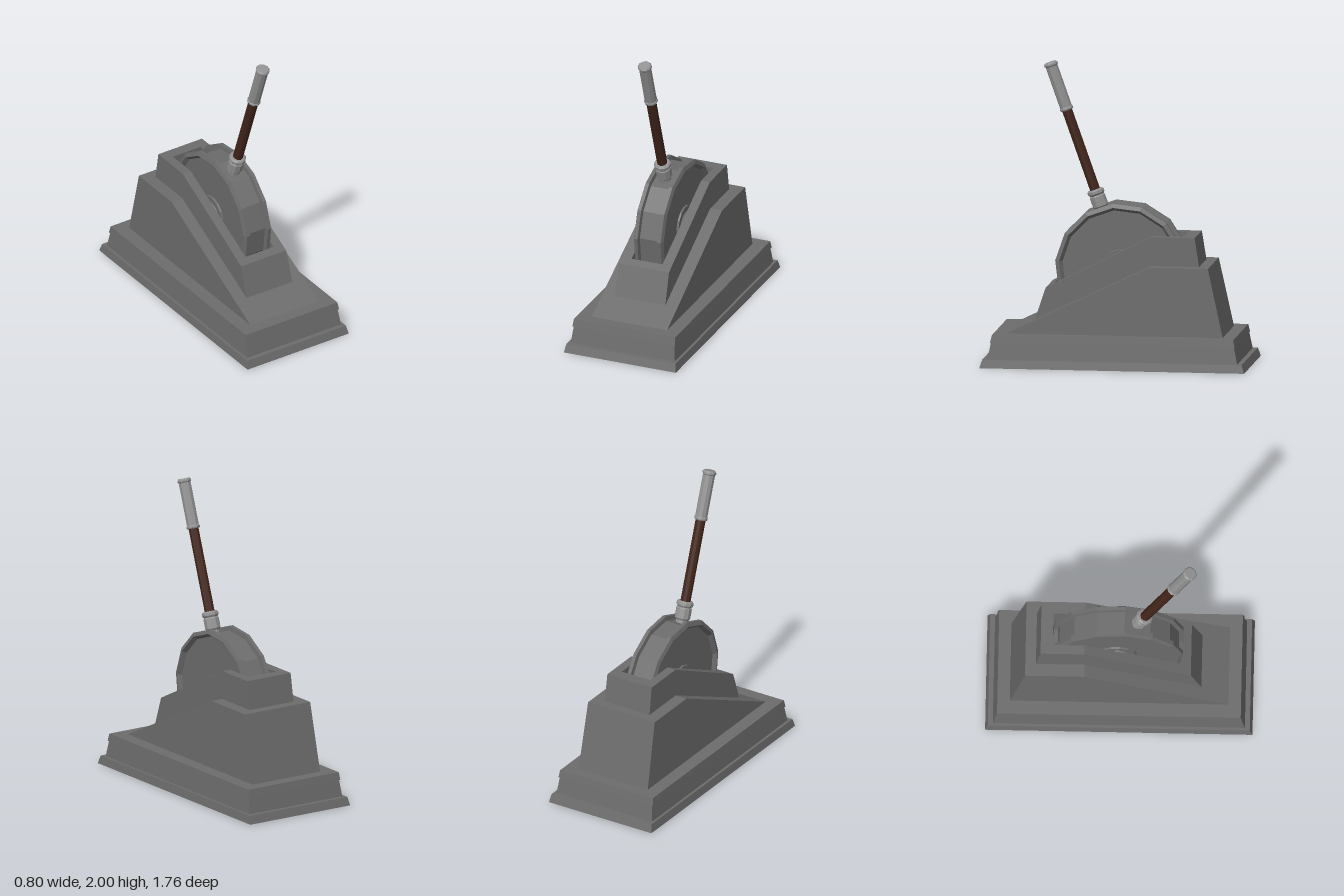
import * as THREE from 'three';

const mat = (name, color, opts = {}) => {
  const m = new THREE.MeshStandardMaterial({ color, flatShading: true, ...opts });
  m.name = name;
  return m;
};

// Side profile [z, y] swept across x between xa(y) and xb(y)
function prism(profile, xa, xb) {
  const shape = new THREE.Shape(profile.map(([z, y]) => new THREE.Vector2(-z, y)));
  const geo = new THREE.ExtrudeGeometry(shape, { depth: 1, bevelEnabled: false });
  geo.rotateY(Math.PI / 2);
  const p = geo.attributes.position;
  for (let i = 0; i < p.count; i++) {
    const y = p.getY(i), t = p.getX(i);
    p.setX(i, xa(y) + (xb(y) - xa(y)) * t);
  }
  geo.computeVertexNormals();
  return geo;
}

// Rectangular shell through levels [halfX, halfZ, y], closed on top, open below
function shell(levels) {
  const pos = [], idx = [];
  for (const [x, z, y] of levels) pos.push(-x, y, z, x, y, z, x, y, -z, -x, y, -z);
  for (let l = 0; l < levels.length - 1; l++) {
    for (let k = 0; k < 4; k++) {
      const a = l * 4 + k, b = l * 4 + (k + 1) % 4;
      idx.push(a, b, b + 4, a, b + 4, a + 4);
    }
  }
  const t = (levels.length - 1) * 4;
  idx.push(t, t + 1, t + 2, t, t + 2, t + 3);
  const geo = new THREE.BufferGeometry();
  geo.setAttribute('position', new THREE.Float32BufferAttribute(pos, 3));
  geo.setIndex(idx);
  const flat = geo.toNonIndexed();
  flat.computeVertexNormals();
  return flat;
}

const lathe = (pts, sides, start = 0) =>
  new THREE.LatheGeometry(pts.map(([r, y]) => new THREE.Vector2(r, y)), sides, start);

// Lathe profile mirrored about its middle, given from the middle outward
const mirrored = (half) => [...half.map(([r, y]) => [r, -y]).reverse(), ...half];

export function createModel() {
  const model = new THREE.Group();
  model.name = 'floorLever';
  const stone = mat('dark grey', 0x6c6c6c);
  const stoneShell = mat('dark grey shell', 0x6c6c6c, { side: THREE.DoubleSide });
  const metal = mat('light grey', 0x929292);
  const wood = mat('dark brown', 0x42251a);

  const add = (parent, name, geo, material) => {
    const mesh = new THREE.Mesh(geo, material);
    mesh.name = name;
    parent.add(mesh);
    return mesh;
  };

  // Stepped hollow plinth
  add(model, 'plinth', shell([
    [0.40, 0.88, 0], [0.39, 0.862, 0.055], [0.372, 0.83, 0.055],
    [0.36, 0.808, 0.165], [0.368, 0.813, 0.165], [0.362, 0.802, 0.215],
  ]), stoneShell);

  // Lower sloping housing
  const lowerW = (y) => 0.27 - (y - 0.215) * 0.022;
  add(model, 'lowerHousing', prism(
    [[0.72, 0.215], [-0.23, 0.67], [-0.62, 0.67], [-0.72, 0.215]],
    (y) => -lowerW(y), lowerW), stone);

  // Upper housing: two cheeks with end blocks around the wheel slot
  const upper = new THREE.Group();
  upper.name = 'upperHousing';
  model.add(upper);
  const slot = 0.11;
  const upperW = (y) => 0.181 - (y - 0.3) * 0.015;
  const cheek = [[0.54, 0.30], [0.47, 0.51], [-0.23, 0.86], [-0.52, 0.86], [-0.55, 0.67], [-0.23, 0.67]];
  add(upper, 'leftCheek', prism(cheek, () => slot, upperW), stone);
  add(upper, 'rightCheek', prism(cheek, (y) => -upperW(y), () => -slot), stone);
  const ends = {
    frontBlock: [[0.54, 0.30], [0.47, 0.51], [0.42, 0.535], [0.42, 0.359]],
    backBlock: [[-0.44, 0.86], [-0.52, 0.86], [-0.55, 0.67], [-0.44, 0.67]],
  };
  for (const [name, profile] of Object.entries(ends)) {
    add(upper, name, prism(profile, () => -slot, () => slot), stone);
  }

  // Turning assembly, tilted forward about the wheel axle
  const turning = new THREE.Group();
  turning.name = 'leverAssembly';
  turning.position.set(0, 0.635, -0.015);
  turning.rotation.x = THREE.MathUtils.degToRad(19.5);
  model.add(turning);

  // Fourteen-sided wheel with two raised rims and recessed faces
  const start = Math.PI / 2 + Math.PI / 14;
  add(turning, 'wheel', lathe(mirrored([
    [0.405, 0.065], [0.435, 0.07], [0.435, 0.095], [0.408, 0.106], [0.388, 0.08], [0, 0.08],
  ]), 14, start).rotateZ(Math.PI / 2), stone);
  add(turning, 'hub', lathe(mirrored([
    [0.13, 0.075], [0.125, 0.092], [0.09, 0.092], [0.08, 0.104], [0, 0.104],
  ]), 14, start).rotateZ(Math.PI / 2), stone);

  // Lever: collar, shaft and grip
  add(turning, 'collar', lathe([
    [0, 0.37], [0.042, 0.37], [0.042, 0.415], [0.053, 0.428], [0.053, 0.495],
    [0.047, 0.503], [0.057, 0.515], [0.057, 0.533], [0.047, 0.543], [0, 0.543],
  ], 10), metal);
  add(turning, 'shaft', lathe([[0, 0.53], [0.034, 0.53], [0.034, 1.11], [0, 1.11]], 10), wood);
  add(turning, 'grip', lathe([
    [0, 1.098], [0.042, 1.098], [0.046, 1.104], [0.046, 1.114], [0.041, 1.12],
    [0.041, 1.405], [0.047, 1.413], [0.047, 1.424], [0.038, 1.434], [0, 1.434],
  ], 10), metal);

  return model;
}
